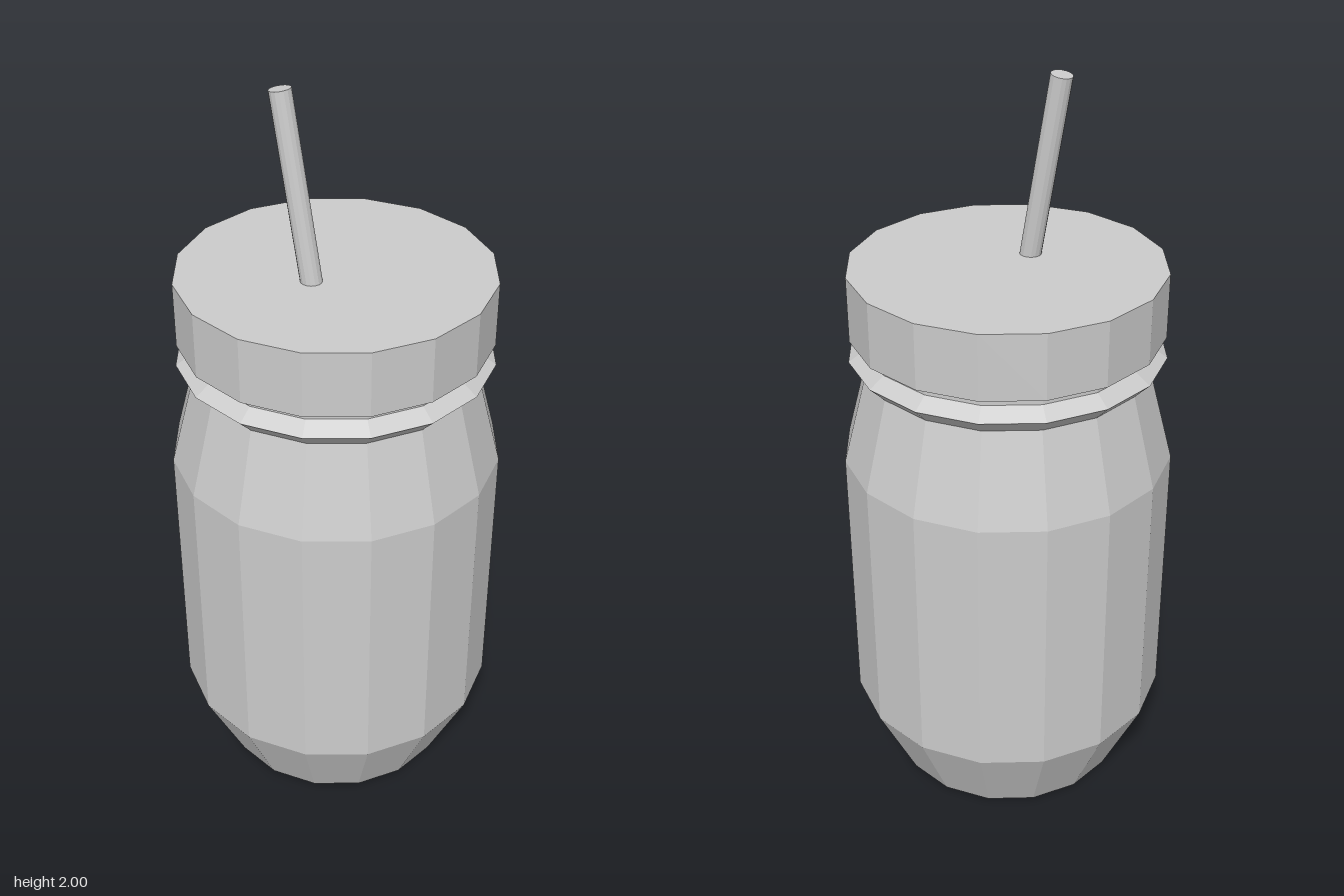
import * as THREE from 'three';

const SIDES = 16;
const TURN = THREE.MathUtils.degToRad(12.9); // facet orientation shared by jar and lid

export function createModel() {
  const model = new THREE.Group();
  const material = new THREE.MeshStandardMaterial({ color: 0xcccccc, flatShading: true });

  // Faceted solid of revolution from [radius, height] pairs, bottom to top
  const addTurned = (name, profile) => {
    const points = profile.map(([r, y]) => new THREE.Vector2(r, y));
    const mesh = new THREE.Mesh(new THREE.LatheGeometry(points, SIDES, TURN), material);
    mesh.name = name;
    model.add(mesh);
  };

  // Jar: tapered base, straight body, shoulder and neck running up into the lid
  addTurned('jar', [
    [0, 0], [0.33, 0], [0.441, 0.24], [0.441, 0.995], [0.375, 1.245], [0.375, 1.36],
  ]);

  // Sharp bead around the neck
  addTurned('neckRing', [[0.375, 1.245], [0.416, 1.287], [0.375, 1.315]]);

  // Screw lid
  addTurned('lid', [[0, 1.345], [0.411, 1.345], [0.411, 1.52], [0, 1.52]]);

  // Leaning straw, pushed through the lid
  const top = new THREE.Vector3(-0.112, 1.995, 0.067);
  const entry = new THREE.Vector3(-0.03, 1.52, 0.082);
  const axis = top.clone().sub(entry).normalize();
  const bottom = entry.clone().addScaledVector(axis, -0.1);
  const straw = new THREE.Mesh(
    new THREE.CylinderGeometry(0.028, 0.028, top.distanceTo(bottom), 16), material);
  straw.name = 'straw';
  straw.position.addVectors(top, bottom).multiplyScalar(0.5);
  straw.quaternion.setFromUnitVectors(new THREE.Vector3(0, 1, 0), axis);
  model.add(straw);

  return model;
}
